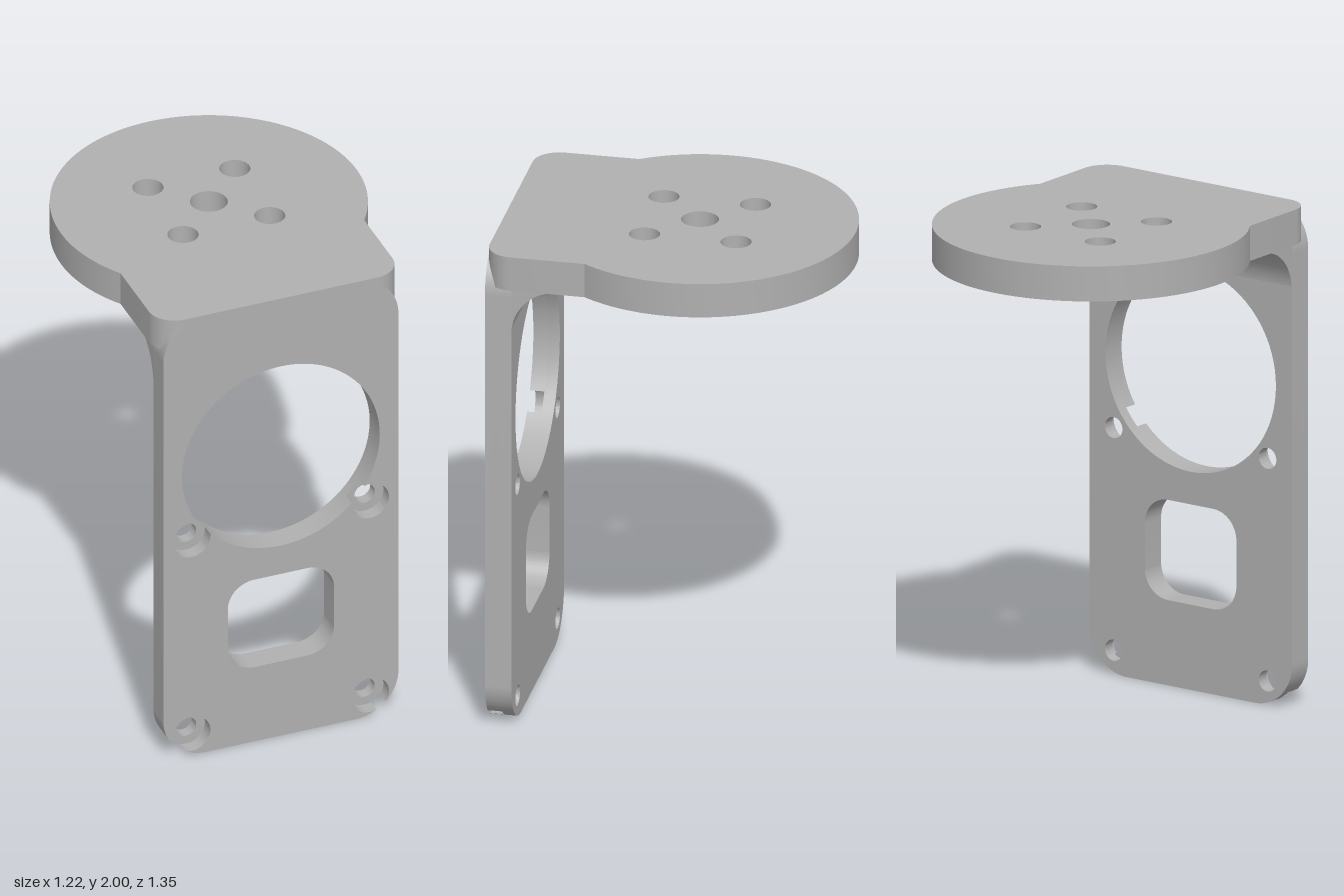
import * as THREE from 'three';
import { toCreasedNormals } from 'three/addons/utils/BufferGeometryUtils.js';

const PI = Math.PI;
const HALF_W = 0.487, CORNER = 0.18;          // upright plate
const Z_BACK = 0.573, Z_STEP = 0.62, Z_FRONT = 0.677;
const BORE = 0.078, SCREW = 0.042;            // counterbore and screw hole radii
const BORE_X = 0.37, BORE_LOW = 0.097, BORE_HIGH = 0.985;
const RING_Y = 1.28, RING_R = 0.41;           // large round opening

const circle = (x, y, r) => new THREE.Path().absarc(x, y, r, 0, 2 * PI);

// Rounded rectangle from corner arcs, counter-clockwise
function roundRect(path, x0, y0, x1, y1, r) {
  path.absarc(x1 - r, y0 + r, r, -PI / 2, 0);
  path.absarc(x1 - r, y1 - r, r, 0, PI / 2);
  path.absarc(x0 + r, y1 - r, r, PI / 2, PI);
  path.absarc(x0 + r, y0 + r, r, PI, 1.5 * PI);
  path.closePath();
  return path;
}

// Where a circle of radius R meets a bore whose centre is offset by (dx, dy)
function meet(R, dx, dy) {
  const d = Math.hypot(dx, dy);
  const a = (d * d + R * R - BORE * BORE) / (2 * d);
  const h = Math.sqrt(R * R - a * a);
  return { dir: Math.atan2(dy, dx), onCircle: Math.atan2(h, a), onBore: Math.atan2(h, a - d) };
}

function extrude(shape, depth) {
  const geo = new THREE.ExtrudeGeometry(shape, { depth, bevelEnabled: false, curveSegments: 40 });
  return toCreasedNormals(geo, 0.5);
}

// Rear layer of the upright: plain outline with screw holes
function rearLayer() {
  const s = roundRect(new THREE.Shape(), -HALF_W, 0, HALF_W, 2, CORNER);
  s.holes.push(circle(0, RING_Y, RING_R));
  s.holes.push(roundRect(new THREE.Path(), -0.22, 0.34, 0.22, 0.74, 0.11));
  for (const x of [-BORE_X, BORE_X])
    for (const y of [BORE_LOW, BORE_HIGH]) s.holes.push(circle(x, y, SCREW));
  return extrude(s, Z_STEP - Z_BACK);
}

// Front layer: counterbores break through the lower corners and the round opening
function frontLayer() {
  const s = new THREE.Shape();
  const cx = HALF_W - CORNER;
  const c = meet(CORNER, BORE_X - cx, BORE_LOW - CORNER);
  const corner = (side, dir, start, end) => {
    s.absarc(side * cx, CORNER, CORNER, start, dir - c.onCircle);
    s.absarc(side * BORE_X, BORE_LOW, BORE, dir - c.onBore, dir + c.onBore, true);
    s.absarc(side * cx, CORNER, CORNER, dir + c.onCircle, end);
  };
  corner(1, c.dir, -PI / 2, 0);
  s.absarc(cx, 2 - CORNER, CORNER, 0, PI / 2);
  s.absarc(-cx, 2 - CORNER, CORNER, PI / 2, PI);
  corner(-1, PI - c.dir, PI, 1.5 * PI);
  s.closePath();

  const ring = new THREE.Path();
  const m = meet(RING_R, BORE_X, BORE_HIGH - RING_Y);
  const back = PI - m.onBore;                 // bore angle measured from the far side
  const dirs = [m.dir, PI - m.dir, m.dir + 2 * PI];
  for (let i = 0; i < 2; i++) {
    const next = dirs[i + 1], side = i === 0 ? -1 : 1;
    ring.absarc(0, RING_Y, RING_R, dirs[i] + m.onCircle, next - m.onCircle);
    ring.absarc(side * BORE_X, BORE_HIGH, BORE, next - m.onBore, next + m.onBore);
  }
  ring.closePath();
  s.holes.push(ring, roundRect(new THREE.Path(), -0.22, 0.34, 0.22, 0.74, 0.11));
  return extrude(s, Z_FRONT - Z_STEP);
}

// Horizontal disc with a squared front tongue; drawn in x/z, extruded downwards
function topPlate() {
  const R = 0.612, cz = -0.065, w = 0.505, r = 0.105;
  const a = Math.acos(w / R);
  const s = new THREE.Shape();
  s.absarc(0, cz, R, PI - a, 2 * PI + a);
  s.absarc(w - r, Z_FRONT - r, r, 0, PI / 2);
  s.absarc(-w + r, Z_FRONT - r, r, PI / 2, PI);
  s.closePath();
  s.holes.push(circle(0, cz, 0.073));
  for (const x of [-0.18, 0.18])
    for (const z of [-0.18, 0.18]) s.holes.push(circle(x, cz + z, 0.06));
  return extrude(s, 0.14).rotateX(PI / 2);
}

// Concave fillet under the top plate; profile in (-z, y), extruded along x
function filletGeometry() {
  const r = 0.19, cy = 1.86 - r, start = Math.asin(0.02 / r);
  const s = new THREE.Shape();
  s.moveTo(-Z_BACK, 1.86);
  s.lineTo(-Z_BACK, cy + 0.02);
  s.absarc(-Z_BACK + r, cy, r, PI - start, PI / 2, true);
  s.closePath();
  return extrude(s, 2 * HALF_W).rotateY(PI / 2).translate(-HALF_W, 0, 0);
}

export function createModel() {
  const group = new THREE.Group();
  const grey = new THREE.MeshStandardMaterial({ color: 0xb0b0b0 });
  grey.name = 'grey';
  const add = (name, geo, y = 0, z = 0) => {
    const mesh = new THREE.Mesh(geo, grey);
    mesh.name = name;
    mesh.position.set(0, y, z);
    group.add(mesh);
  };
  add('uprightRear', rearLayer(), 0, Z_BACK);
  add('uprightFront', frontLayer(), 0, Z_STEP);
  add('topPlate', topPlate(), 2);
  add('fillet', filletGeometry());
  return group;
}
